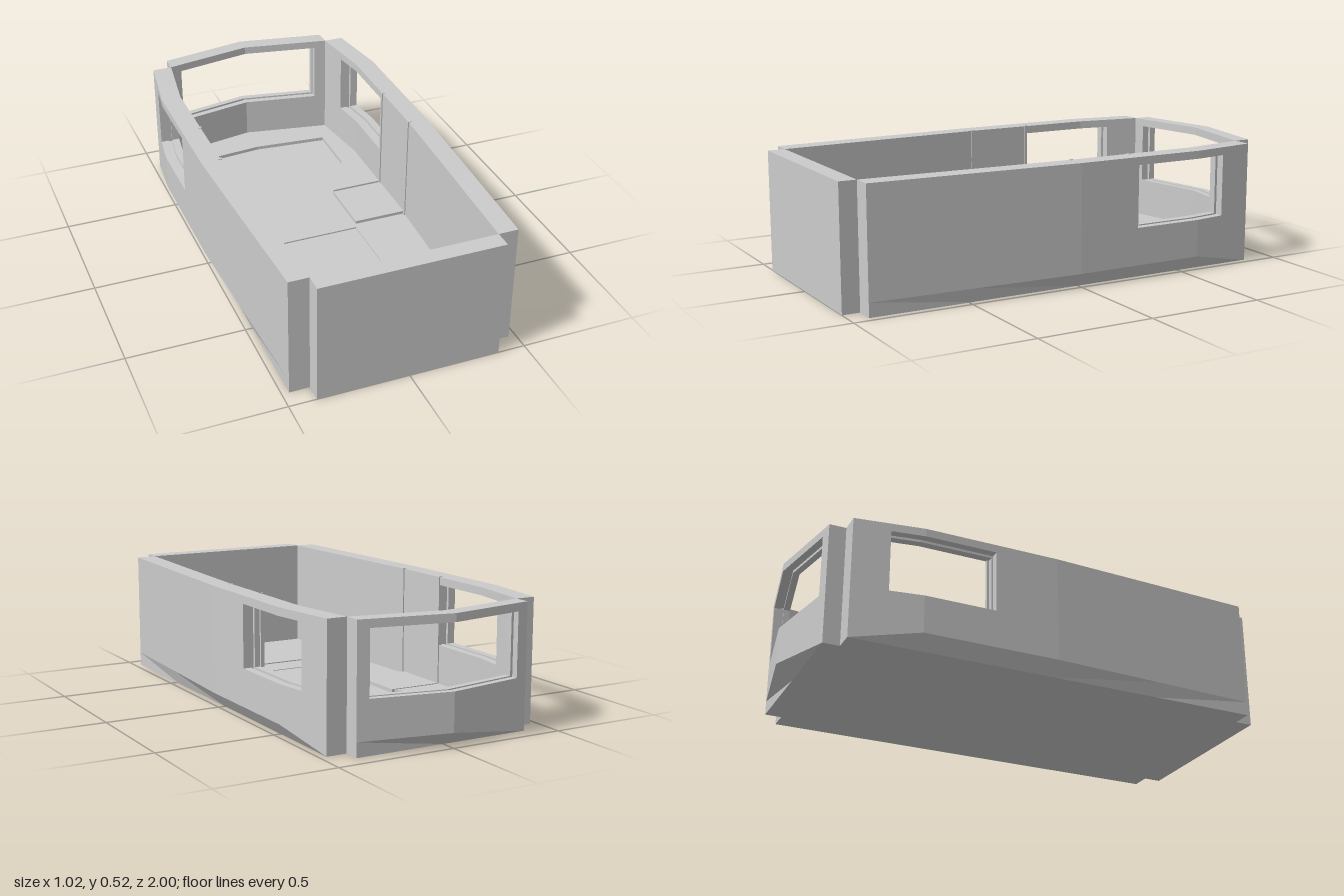
import * as THREE from 'three';

const mat = new THREE.MeshStandardMaterial({ color: 0xcccccc, flatShading: true });
const H = 0.517, CHAMFER = 0.06;          // wall height, height of the bottom chamfer
const WIN_Y = [0.22, 0.483], GROOVE = 0.012;

const lerp = (a, b, t) => a + (b - a) * t;
const lerp2 = (a, b, t) => [lerp(a[0], b[0], t), lerp(a[1], b[1], t)];

function add(group, name, geometry) {
  const mesh = new THREE.Mesh(geometry, mat);
  mesh.name = name;
  group.add(mesh);
  return mesh;
}

// Station = { s, o: outer [x,z], i: inner [x,z], b: foot [x,z] }
function stationAt(path, s) {
  let k = 0;
  while (k < path.length - 2 && s > path[k + 1].s) k++;
  const a = path[k], c = path[k + 1], t = (s - a.s) / (c.s - a.s);
  return { s, o: lerp2(a.o, c.o, t), i: lerp2(a.i, c.i, t), b: lerp2(a.b, c.b, t) };
}

// Capped loft of a wall strip between s0..s1, y0..y1 and thickness fractions t0..t1
function strip(path, s0, s1, y0, y1, t0 = 0, t1 = 1) {
  const stations = [stationAt(path, s0), ...path.filter(p => p.s > s0 + 1e-4 && p.s < s1 - 1e-4), stationAt(path, s1)];
  const rings = stations.map(({ o, i, b }) => {
    const p = lerp2(o, i, t0), q = lerp2(o, i, t1);
    const ring = [[p, y0], [p, y1], [q, y1], [q, y0]];
    if (y0 === 0) ring.splice(0, 1, [b, 0], [o, CHAMFER]);
    return ring.map(([v, y]) => new THREE.Vector3(v[0], y, v[1]));
  });
  const n = rings[0].length, last = rings[rings.length - 1], tris = [];
  for (let r = 0; r + 1 < rings.length; r++) {
    for (let k = 0; k < n; k++) {
      const a = rings[r][k], b = rings[r][(k + 1) % n], c = rings[r + 1][(k + 1) % n], d = rings[r + 1][k];
      tris.push([a, b, c], [a, c, d]);
    }
  }
  for (let k = 1; k + 1 < n; k++) {
    tris.push([rings[0][0], rings[0][k + 1], rings[0][k]], [last[0], last[k], last[k + 1]]);
  }
  // signed volume decides the facing
  const volume = tris.reduce((v, [a, b, c]) => v + a.dot(b.clone().cross(c)), 0);
  const points = tris.flatMap(([a, b, c]) => (volume < 0 ? [a, c, b] : [a, b, c]));
  const geo = new THREE.BufferGeometry().setFromPoints(points);
  geo.computeVertexNormals();
  return geo;
}

// Wall with a window whose reveal carries a groove for the pane
function windowWall(name, path, w0, w1) {
  const wall = new THREE.Group();
  wall.name = name;
  const start = path[0].s, end = path[path.length - 1].s;
  const [y0, y1] = WIN_Y, a = w0 - GROOVE, b = w1 + GROOVE, lo = y0 - GROOVE, hi = y1 + GROOVE;
  add(wall, 'wallBase', strip(path, start, end, 0, lo));
  add(wall, 'wallTopRail', strip(path, start, end, hi, H));
  add(wall, 'wallPost', strip(path, start, a, lo, hi));
  add(wall, 'wallPost', strip(path, b, end, lo, hi));
  for (const [t0, t1] of [[0, 0.4], [0.6, 1]]) {
    add(wall, 'windowSill', strip(path, a, b, lo, y0, t0, t1));
    add(wall, 'windowHead', strip(path, a, b, y1, hi, t0, t1));
    add(wall, 'windowJamb', strip(path, a, w0, y0, y1, t0, t1));
    add(wall, 'windowJamb', strip(path, w1, b, y0, y1, t0, t1));
  }
  return wall;
}

// Flat slab from an [x,z] outline, between y0 and y1
function slab(outline, y0, y1, hole) {
  const toV = pts => pts.map(p => new THREE.Vector2(p[0], p[1]));
  const shape = new THREE.Shape(toV(outline));
  if (hole) shape.holes.push(new THREE.Path(toV(hole)));
  const geo = new THREE.ExtrudeGeometry(shape, { depth: y1 - y0, bevelEnabled: false });
  return geo.rotateX(Math.PI / 2).translate(0, y1, 0);
}

const mirrored = half => [...half, ...half.map(([x, z]) => [-x, z]).reverse()];
const rect = (x, z0, z1) => [[-x, z0], [x, z0], [x, z1], [-x, z1]];

export function createModel() {
  const model = new THREE.Group();
  model.name = 'hullShell';

  // side walls: bowed outward above a straight foot
  const sideProfile = [[-0.86, 0.47], [-0.57, 0.512], [0.01, 0.512], [0.48, 0.491], [0.925, 0.47]];
  for (const sx of [1, -1]) {
    const path = sideProfile.map(([z, x]) => ({
      s: z, o: [sx * x, z], i: [sx * (x - 0.085), z], b: [sx * 0.47, z],
    }));
    model.add(windowWall(sx > 0 ? 'leftWall' : 'rightWall', path, -0.71, -0.265));
  }

  // pointed back wall
  const backPath = [-0.385, 0, 0.385].map(x => {
    const z = x === 0 ? -1 : -0.93;
    return { s: x, o: [x, z], i: [x, z + 0.07], b: [x, -0.93] };
  });
  model.add(windowWall('backWall', backPath, -0.335, 0.335));

  // plain front wall
  add(model, 'frontWall', slab(rect(0.385, 0.925, 1), 0, H));

  // floor plate under the raised panels
  const inner = [[0.385, 0.925], [0.427, 0.01], [0.427, -0.57], [0.385, -0.86], [0, -0.93]];
  add(model, 'floorPlate', slab(mirrored(inner.slice(0, 4)).toSpliced(4, 0, [0, -0.93]), 0, 0.034));

  // front floor panels, split by a cross groove, with a square hatch
  add(model, 'frontFloorPanel', slab(mirrored([[0.385, 0.925], [0.405, 0.49]]), 0.03, 0.04));
  add(model, 'middleFloorPanel', slab(mirrored([[0.406, 0.472], [0.427, 0.005]]), 0.03, 0.04, rect(0.181, 0.03, 0.345)));
  add(model, 'floorHatch', slab(rect(0.171, 0.04, 0.335), 0.03, 0.04));

  // raised rear deck around a keyhole-shaped well
  add(model, 'rearDeck', slab([
    [0.427, -0.278], [0.197, -0.278], [0.33, -0.5], [0.33, -0.75], [0, -0.78],
    [-0.33, -0.75], [-0.33, -0.5], [-0.197, -0.278], [-0.427, -0.278],
    [-0.427, -0.57], [-0.385, -0.86], [0, -0.93], [0.385, -0.86], [0.427, -0.57],
  ], 0.03, 0.05));

  for (const sx of [1, -1]) {
    // side pads next to the well
    add(model, 'sidePad', slab([[0.193, 0], [0.427, 0], [0.427, -0.266], [0.193, -0.266]].map(([x, z]) => [sx * x, z]), 0.03, 0.05));
    // slim upright ribs on the walls
    for (const z of [0.012, -0.268]) {
      add(model, 'wallRib', new THREE.BoxGeometry(0.016, 0.48, 0.012)).position.set(sx * 0.43, 0.28, z);
    }
  }
  return model;
}
